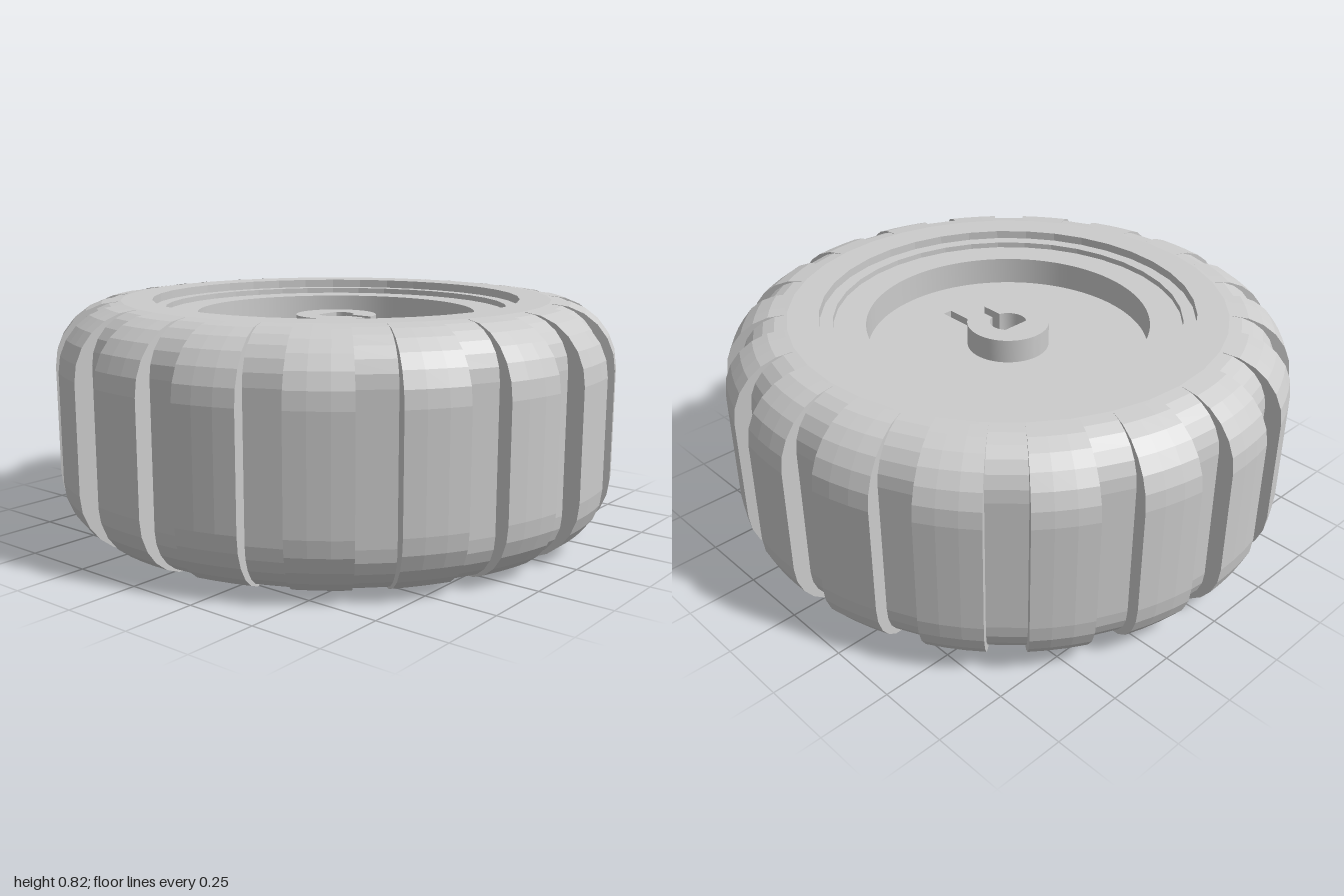
import * as THREE from 'three';
import { toCreasedNormals } from 'three/addons/utils/BufferGeometryUtils.js';

const H = 0.82;
const rad = THREE.MathUtils.degToRad;
const v2 = (x, y) => new THREE.Vector2(x, y);

const flat = new THREE.MeshStandardMaterial({ color: 0xcccccc, flatShading: true });
const flatDouble = new THREE.MeshStandardMaterial({ color: 0xcccccc, flatShading: true, side: THREE.DoubleSide });
const smooth = new THREE.MeshStandardMaterial({ color: 0xcccccc });

function add(parent, name, geometry, material) {
  const mesh = new THREE.Mesh(geometry, material);
  mesh.name = name;
  parent.add(mesh);
  return mesh;
}

// Outer side of the tyre, from bottom to top, with rounded shoulders
function treadProfile(radius, fillet) {
  const lower = [];
  for (let i = 0; i <= 6; i++) {
    const a = (i / 6) * Math.PI / 2;
    lower.push(v2(radius - fillet + fillet * Math.sin(a), fillet - fillet * Math.cos(a)));
  }
  const upper = lower.map((p) => v2(p.x, H - p.y)).reverse();
  return [...lower, ...upper];
}

// Extrude a plan shape upwards from y0 to y1 (shape +y becomes -z)
function slab(shape, y0, y1) {
  const g = new THREE.ExtrudeGeometry(shape, { depth: y1 - y0, bevelEnabled: false, curveSegments: 48 });
  g.rotateX(-Math.PI / 2);
  g.translate(0, y0, 0);
  return toCreasedNormals(g, rad(30));
}

// Part of a ring between two radii; angles measured from +z towards +x
function ringSector(inner, outer, start, end) {
  const a0 = start - Math.PI / 2, a1 = end - Math.PI / 2;
  const s = new THREE.Shape();
  s.absarc(0, 0, outer, a0, a1, false);
  s.absarc(0, 0, inner, a1, a0, true);
  s.closePath();
  return s;
}

// D-shaped axle hole outline joined to the slot, listed from slot side to slot side
const holeR = 0.065, holeFlat = 0.04, slotHalf = 0.018, slotEnd = -0.33;
function axleOutline() {
  const points = [];
  const a0 = -Math.PI / 2 + Math.asin(slotHalf / holeR);
  const a1 = Math.asin(holeFlat / holeR);
  for (let i = 0; i <= 10; i++) {
    const a = a0 + (a1 - a0) * (i / 10);
    points.push(v2(holeR * Math.cos(a), holeR * Math.sin(a)));
  }
  return [...points, ...points.map((p) => v2(-p.x, p.y)).reverse()];
}

function buildTyre(parent) {
  const tyre = new THREE.Group();
  tyre.name = 'tyre';
  parent.add(tyre);

  // Carcass with a stepped bead at both openings
  const carcass = [
    v2(0.66, 0), ...treadProfile(0.94, 0.17), v2(0.66, H),
    v2(0.66, H - 0.03), v2(0.615, H - 0.03), v2(0.615, 0.03), v2(0.66, 0.03), v2(0.66, 0),
  ];
  add(tyre, 'carcass', new THREE.LatheGeometry(carcass, 36), flat);

  // Tread lugs: a swept outer skin closed by a flat wall on each side
  const outer = treadProfile(1, 0.22);
  const skin = new THREE.LatheGeometry(outer, 3, 0, rad(12));
  const wallShape = new THREE.Shape([...outer, v2(0.78, H), v2(0.78, 0)]);
  for (let i = 0; i < 18; i++) {
    const lug = new THREE.Group();
    lug.name = 'treadLug';
    lug.rotation.y = rad(i * 20);
    add(lug, 'lugSkin', skin, flat);
    for (const angle of [0, 12]) {
      add(lug, 'lugWall', new THREE.ShapeGeometry(wallShape), flatDouble).rotation.y = rad(angle - 90);
    }
    tyre.add(lug);
  }
}

function buildHub(parent) {
  const hub = new THREE.Group();
  hub.name = 'hub';
  parent.add(hub);

  // Rim ring
  const ring = new THREE.Shape().absarc(0, 0, 0.617, 0, Math.PI * 2, false);
  ring.holes.push(new THREE.Path().absarc(0, 0, 0.5, 0, Math.PI * 2, true));
  add(hub, 'rimRing', slab(ring, 0.225, 0.77), smooth);

  // Teeth hanging below the rim ring
  for (let i = 0; i < 12; i++) {
    const mid = rad(i * 30 - 5);
    add(hub, 'rimTooth', slab(ringSector(0.5, 0.617, mid - rad(7.5), mid + rad(7.5)), 0.05, 0.225), smooth);
  }

  // Recessed disc, pierced by the axle hole and slot
  const disc = new THREE.Shape().absarc(0, 0, 0.502, 0, Math.PI * 2, false);
  disc.holes.push(new THREE.Path([...axleOutline(), v2(-slotHalf, slotEnd), v2(slotHalf, slotEnd)]));
  add(hub, 'disc', slab(disc, 0.385, 0.67), smooth);

  // Split bosses around the axle, above and below the disc
  const bossR = 0.145;
  const gap = Math.asin(slotHalf / bossR);
  const boss = new THREE.Shape();
  boss.absarc(0, 0, bossR, -Math.PI / 2 + gap, Math.PI * 1.5 - gap, false);
  for (const p of axleOutline().reverse()) boss.lineTo(p.x, p.y);
  boss.closePath();
  add(hub, 'upperBoss', slab(boss, 0.67, 0.755), smooth);
  add(hub, 'lowerBoss', slab(boss, 0.33, 0.385), smooth);
}

export function createModel() {
  const wheel = new THREE.Group();
  wheel.name = 'wheel';
  buildTyre(wheel);
  buildHub(wheel);
  return wheel;
}
